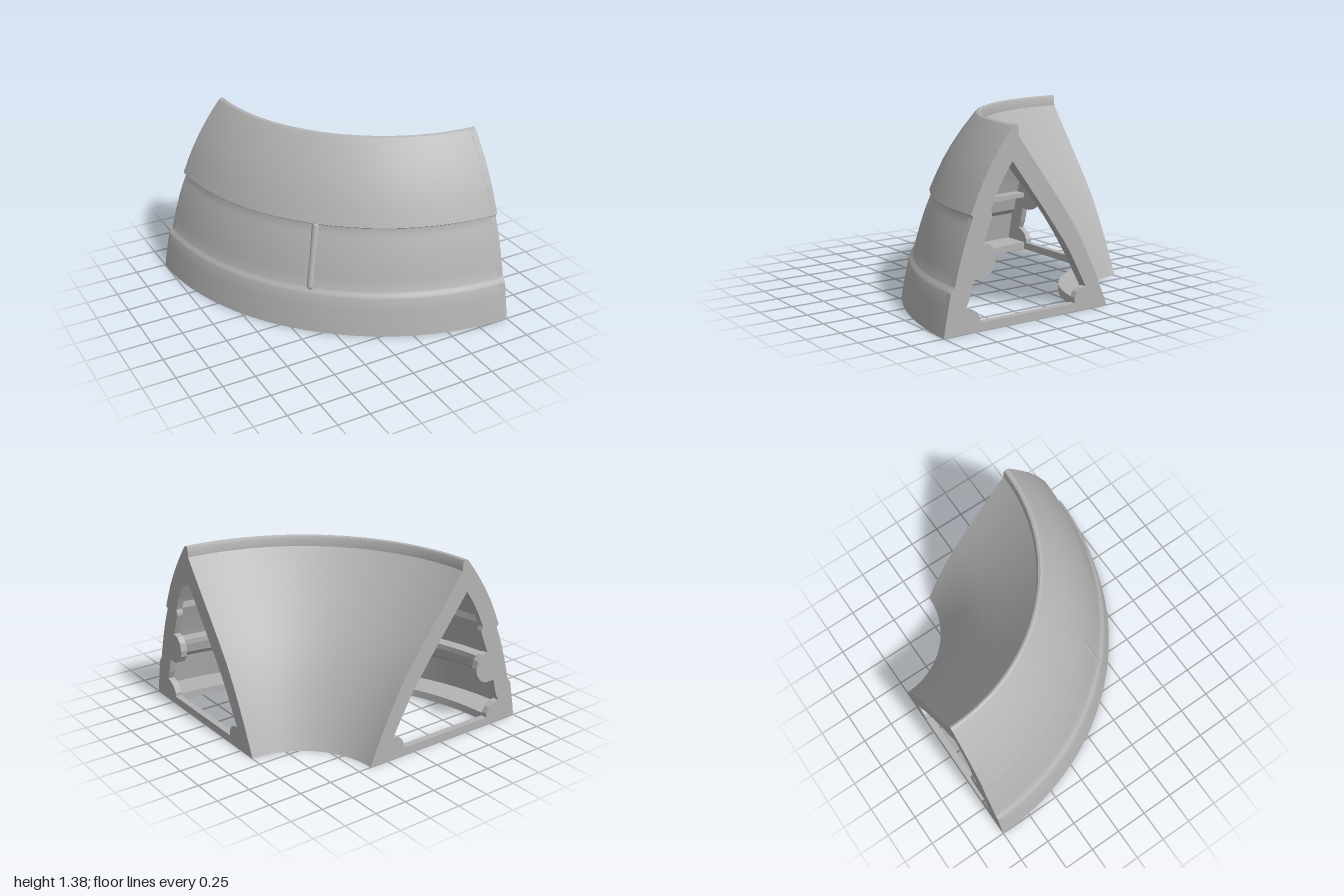
import * as THREE from 'three';
import { toCreasedNormals } from 'three/addons/utils/BufferGeometryUtils.js';

const V = (a) => a.map(([r, y]) => new THREE.Vector2(r, y));

// Outer face, from the foot up to the rounded rim (radius, height)
const outer = [
  [2, 0], [1.983, 0.1], [1.963, 0.2], [1.945, 0.29], [1.937, 0.305], [1.92, 0.322], [1.912, 0.335],
  [1.89, 0.42], [1.862, 0.52], [1.827, 0.63], [1.79, 0.725], [1.768, 0.778], [1.768, 0.79], [1.785, 0.802],
  [1.74, 0.905], [1.69, 1.01], [1.63, 1.115], [1.56, 1.22], [1.5, 1.3], [1.455, 1.357],
  [1.443, 1.37], [1.425, 1.377], [1.41, 1.37], [1.402, 1.35],
];
// Inner funnel, from the rim down to the foot
const inner = [
  [1.4, 1.295], [1.29, 1.145], [1.18, 1.0], [1.08, 0.865], [0.98, 0.73], [0.9, 0.61],
  [0.83, 0.49], [0.76, 0.355], [0.69, 0.21], [0.64, 0.095], [0.6, 0],
];
// Hollow of the shell with a small flange at each foot
const cavity = [
  [0.82, 0], [0.82, 0.06], [0.665, 0.06], [0.735, 0.21], [0.805, 0.355], [0.875, 0.485], [0.945, 0.605],
  [1.025, 0.725], [1.125, 0.86], [1.225, 0.995], [1.335, 1.14], [1.425, 1.26],
  [1.53, 1.215], [1.6, 1.11], [1.665, 1.0], [1.715, 0.9], [1.755, 0.82], [1.75, 0.77],
  [1.805, 0.63], [1.84, 0.52], [1.868, 0.42], [1.89, 0.33], [1.925, 0.29],
  [1.943, 0.2], [1.97, 0.06], [1.74, 0.06], [1.74, 0],
];
// Opening in the end frames
const opening = [
  [1.45, 1.13], [1.2, 0.8], [1.09, 0.65], [0.99, 0.51], [0.93, 0.41], [0.87, 0.3], [0.8, 0.17],
  [0.84, 0.165], [0.88, 0.14], [0.9, 0.1], [0.9, 0.06], [1.71, 0.06], [1.71, 0.09], [1.735, 0.135],
  [1.78, 0.165], [1.825, 0.175], [1.795, 0.24], [1.765, 0.36], [1.68, 0.36], [1.63, 0.385],
  [1.59, 0.44], [1.582, 0.49], [1.597, 0.55], [1.635, 0.59], [1.685, 0.6], [1.615, 0.77],
  [1.615, 0.79], [1.625, 0.82], [1.58, 0.92], [1.52, 1.03],
];
// Half-height web in the middle of the shell
const web = [
  [1.98, 0.03], [1.7, 0.03], [1.71, 0.09], [1.735, 0.135], [1.78, 0.165], [1.84, 0.175],
  [1.84, 0.26], [1.58, 0.26], [1.58, 0.85], [1.75, 0.85], [1.76, 0.78], [1.85, 0.53], [1.905, 0.33], [1.95, 0.2],
];

export function createModel() {
  const model = new THREE.Group();
  const grey = new THREE.MeshStandardMaterial({ color: 0xb3b3b3 });
  grey.name = 'plain grey';

  // Everything turns about one vertical axis at a corner
  const quarter = new THREE.Group();
  quarter.name = 'quarterRing';
  quarter.position.set(1, 0, -1);
  model.add(quarter);

  const add = (parent, name, geometry) => {
    const mesh = new THREE.Mesh(geometry, grey);
    mesh.name = name;
    parent.add(mesh);
    return mesh;
  };
  const sweep = (name, pts) => {
    const closed = V([...pts, pts[0]]);
    const g = new THREE.LatheGeometry(closed, 72, -Math.PI / 2, Math.PI / 2);
    return add(quarter, name, toCreasedNormals(g, 0.45));
  };
  // A holder whose local x points outward from the axis at the given angle
  const spoke = (name, angle) => {
    const g = new THREE.Group();
    g.name = name;
    g.rotation.y = angle - Math.PI / 2;
    quarter.add(g);
    return g;
  };
  const plate = (parent, name, pts, depth, z, hole) => {
    const shape = new THREE.Shape(V(pts));
    if (hole) shape.holes.push(new THREE.Path(V(hole)));
    const g = new THREE.ExtrudeGeometry(shape, { depth, bevelEnabled: false });
    g.translate(0, 0, z);
    return add(parent, name, g);
  };

  // Thin hollow shell and its stiffening ledge
  sweep('shell', [...outer, ...inner, ...cavity]);
  sweep('innerLedge', [[1.87, 0.46], [1.865, 0.5], [1.75, 0.5], [1.75, 0.46]]);

  // End frames
  const frame = [...outer, ...inner];
  const t = 0.05;
  plate(spoke('leftEnd', 0), 'leftEndFrame', frame, t, 0, opening);
  plate(spoke('backEnd', -Math.PI / 2), 'backEndFrame', frame, t, -t, opening);

  // Middle web, with a post and a small peg on its inner edge
  const middle = spoke('middleRib', -Math.PI / 4);
  plate(middle, 'middleWeb', web, t, -t / 2);
  const post = add(middle, 'post', new THREE.BoxGeometry(0.05, 0.56, 0.14));
  post.position.set(1.59, 0.54, 0);
  const peg = add(middle, 'peg', new THREE.BoxGeometry(0.04, 0.07, 0.04));
  peg.position.set(1.55, 0.51, 0);

  // Rounded key standing slightly proud of the outer face
  const low = new THREE.Vector3(1.9, 0.335, 0);
  const high = new THREE.Vector3(1.76, 0.775, 0);
  const key = add(middle, 'outerKey', new THREE.CapsuleGeometry(0.03, low.distanceTo(high), 6, 16));
  key.position.copy(low).add(high).multiplyScalar(0.5);
  key.quaternion.setFromUnitVectors(new THREE.Vector3(0, 1, 0), high.clone().sub(low).normalize());

  return model;
}
